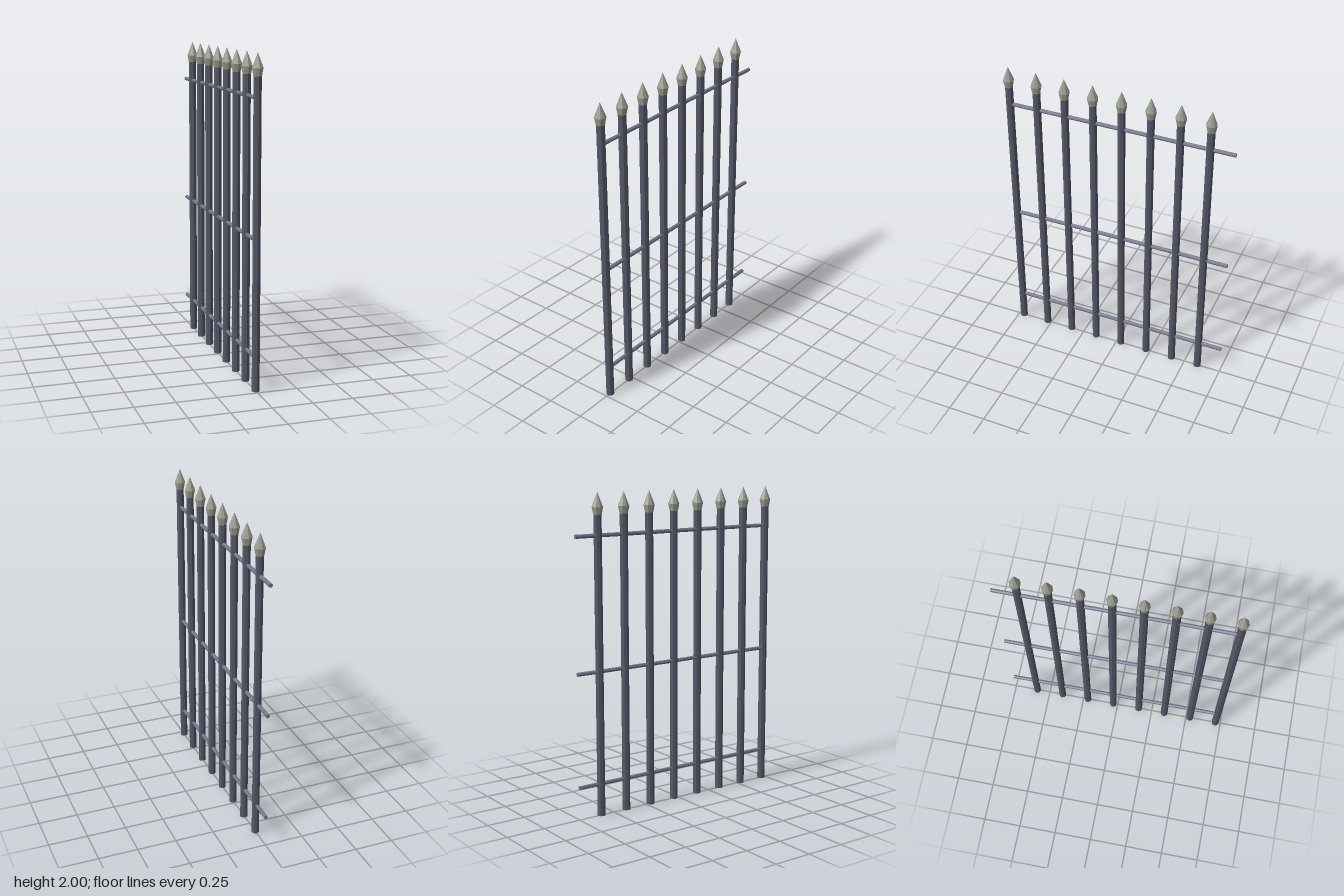
import * as THREE from 'three';

const POSTS = 8;
const FIRST_Z = 0.714;
const STEP = 0.1866;
const RAIL_END = -0.75;

export function createModel() {
  const group = new THREE.Group();
  const make = (name, color) => {
    const m = new THREE.MeshStandardMaterial({ color, flatShading: true });
    m.name = name;
    return m;
  };
  const postIron = make('dark iron', 0x555868);
  const railIron = make('light iron', 0x74768a);
  const steel = make('grey steel', 0x9c9d90);

  const add = (name, geometry, material, y, z) => {
    const mesh = new THREE.Mesh(geometry, material);
    mesh.name = name;
    mesh.position.set(0, y, z);
    group.add(mesh);
    return mesh;
  };

  // Upright bars, each with a faceted spear head
  const barGeo = new THREE.CylinderGeometry(0.025, 0.025, 1.87, 8);
  const headGeo = new THREE.LatheGeometry([
    new THREE.Vector2(0, 1.865),
    new THREE.Vector2(0.026, 1.865),
    new THREE.Vector2(0.035, 1.91),
    new THREE.Vector2(0, 2),
  ], 8);
  for (let i = 0; i < POSTS; i++) {
    const z = FIRST_Z - i * STEP;
    add('uprightBar', barGeo, postIron, 0.935, z);
    add('spearHead', headGeo, steel, 0, z);
  }

  // Cross rails, running past the last bar at the back
  const railGeo = new THREE.CylinderGeometry(0.0125, 0.0125, FIRST_Z - RAIL_END, 8);
  railGeo.rotateX(Math.PI / 2);
  for (const y of [0.205, 0.915, 1.742]) {
    add('crossRail', railGeo, railIron, y, (FIRST_Z + RAIL_END) / 2);
  }
  return group;
}
